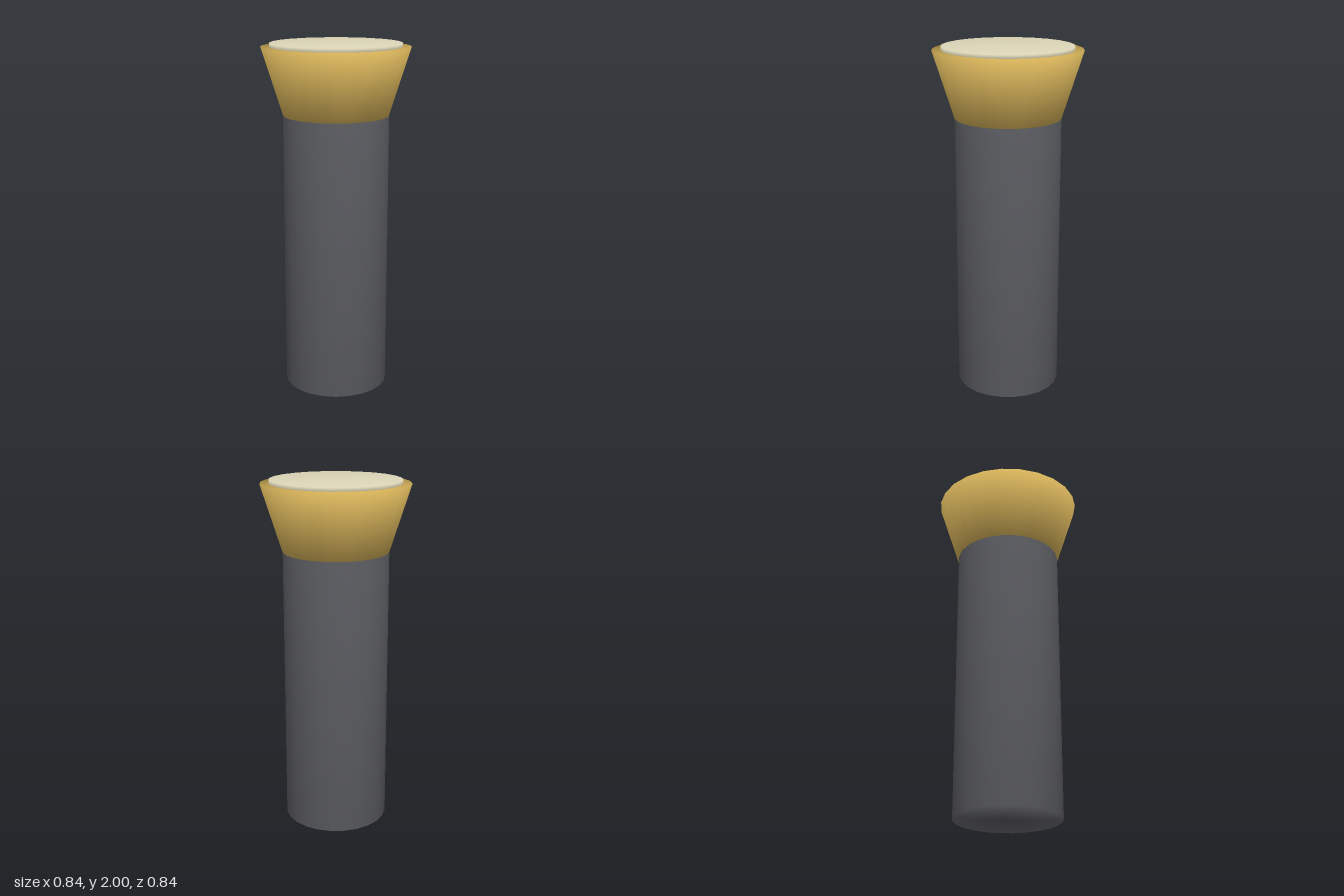
import * as THREE from 'three';
import { mergeVertices } from 'three/addons/utils/BufferGeometryUtils.js';

const SIDES = 24;

// Capped cylinder whose normals blend smoothly over the rims
function softCylinder(topRadius, bottomRadius, bottom, top) {
  let geometry = new THREE.CylinderGeometry(topRadius, bottomRadius, top - bottom, SIDES);
  geometry.deleteAttribute('normal');
  geometry.deleteAttribute('uv');
  geometry = mergeVertices(geometry, 1e-4);
  geometry.computeVertexNormals();
  geometry.translate(0, (top + bottom) / 2, 0);
  return geometry;
}

function material(name, color) {
  const m = new THREE.MeshStandardMaterial({ color });
  m.name = name;
  return m;
}

export function createModel() {
  const group = new THREE.Group();
  group.name = 'flashlight';

  const add = (name, geometry, mat) => {
    const mesh = new THREE.Mesh(geometry, mat);
    mesh.name = name;
    group.add(mesh);
  };

  // Straight handle, flared head and a thin lens disc on top
  add('handle', softCylinder(0.3, 0.3, 0, 1.6), material('dark grey', 0x5a5b60));
  add('head', softCylinder(0.42, 0.3, 1.6, 1.98), material('gold', 0xd8b45a));
  add('lens', softCylinder(0.37, 0.37, 1.96, 2), material('cream', 0xddd6b8));

  return group;
}
